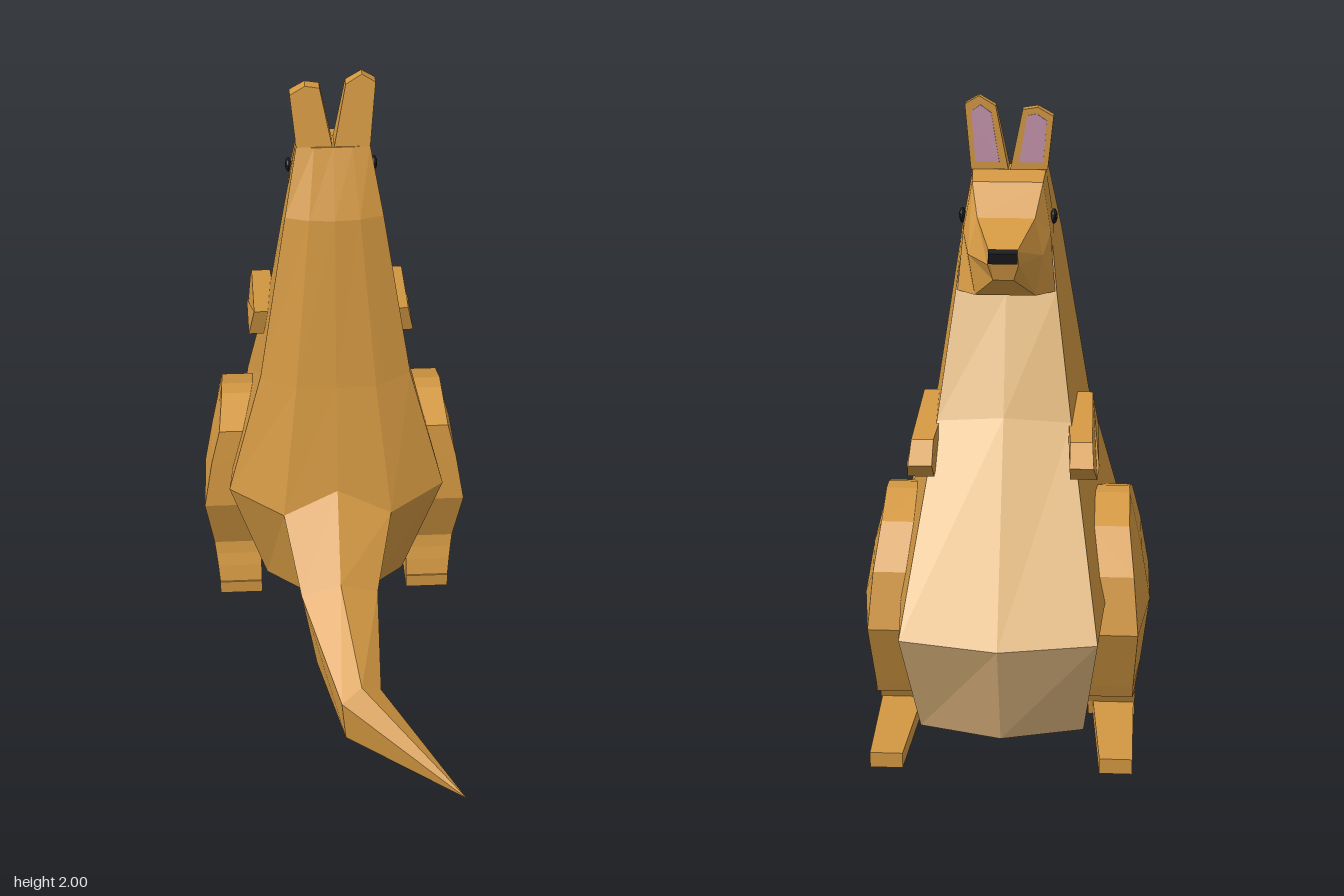
import * as THREE from 'three';

const FUR = 0xd39842, CREAM = 0xe8be84, DARK = 0x1c1c20, PINK = 0xc493ac;
const mat = (color) => new THREE.MeshStandardMaterial({ color, flatShading: true });

// Full loop from half a cross-section: the +x points, then their mirror image
const mirrorLoop = (half) => [
  ...half,
  ...half.filter((p) => p[0] !== 0).reverse().map(([x, y, z]) => [-x, y, z]),
];

// Joins equal-length loops into a closed solid; colorAt(level, column) picks the face colour, caps use column -1
function loft(name, loops, colorAt = () => FUR) {
  const faces = new Map();
  let volume = 0;
  const tri = (color, a, b, c) => {
    const [A, B, C] = [a, b, c].map((p) => new THREE.Vector3(...p));
    volume += A.dot(B.cross(C));
    if (!faces.has(color)) faces.set(color, []);
    faces.get(color).push([a, b, c]);
  };
  const n = loops[0].length, last = loops.length - 1;
  for (let i = 0; i < last; i++) {
    for (let j = 0; j < n; j++) {
      const k = (j + 1) % n, col = colorAt(i, j);
      tri(col, loops[i][j], loops[i][k], loops[i + 1][k]);
      tri(col, loops[i][j], loops[i + 1][k], loops[i + 1][j]);
    }
  }
  for (let j = 1; j < n - 1; j++) {
    tri(colorAt(0, -1), loops[0][0], loops[0][j + 1], loops[0][j]);
    tri(colorAt(last, -1), loops[last][0], loops[last][j], loops[last][j + 1]);
  }
  const group = new THREE.Group();
  group.name = name;
  for (const [color, list] of faces) {
    const points = list.flatMap((t) => (volume < 0 ? [t[0], t[2], t[1]] : t));
    const geo = new THREE.BufferGeometry();
    geo.setAttribute('position', new THREE.Float32BufferAttribute(points.flat(), 3));
    geo.computeVertexNormals();
    const mesh = new THREE.Mesh(geo, mat(color));
    mesh.name = color === FUR ? name : name + 'Panel';
    group.add(mesh);
  }
  return group;
}

function makeBody() {
  // back centre, back, side corner, belly edge, belly centre
  const rings = [
    [[0, 0.13, 0], [0.12, 0.13, 0], [0.24, 0.13, -0.1], [0.25, 0.13, -0.66], [0, 0.13, -0.73]],
    [[0, 0.64, 0.1], [0.18, 0.55, 0.11], [0.36, 0.6, 0.02], [0.29, 0.51, -0.85], [0, 0.5, -0.89]],
    [[0, 1.0, 0.02], [0.13, 1.0, 0.015], [0.245, 1.02, -0.03], [0.2, 1.08, -0.53], [0, 1.1, -0.555]],
    [[0, 1.57, -0.07], [0.08, 1.57, -0.075], [0.155, 1.57, -0.1], [0.15, 1.45, -0.41], [0, 1.44, -0.425]],
    [[0, 1.78, -0.16], [0.06, 1.78, -0.16], [0.115, 1.78, -0.17], [0.11, 1.78, -0.24], [0, 1.78, -0.24]],
  ].map(mirrorLoop);
  return loft('body', rings, (i, j) =>
    (i < 3 && (j === 3 || j === 4)) || (i === 0 && j === -1) ? CREAM : FUR);
}

function makeMuzzle() {
  return loft('muzzle', [
    [[0.11, 1.78, -0.235], [0.135, 1.64, -0.27], [0.14, 1.47, -0.36]],
    [[0.105, 1.76, -0.33], [0.13, 1.62, -0.37], [0.145, 1.45, -0.41]],
    [[0.085, 1.67, -0.41], [0.11, 1.57, -0.45], [0.09, 1.45, -0.46]],
    [[0.04, 1.61, -0.57], [0.045, 1.57, -0.565], [0.03, 1.52, -0.55]],
  ].map(mirrorLoop));
}

function makeTail() {
  // top, right, lower right, lower left, left; curls sideways to a point
  const tip = [0.37, 0.003, 0.89];
  return loft('tail', [
    [[0, 0.64, 0.1], [-0.18, 0.55, 0.11], [-0.12, 0.13, 0], [0.12, 0.13, 0], [0.18, 0.55, 0.11]],
    [[0, 0.4, 0.3], [-0.13, 0.35, 0.29], [-0.08, 0.03, 0.27], [0.08, 0.03, 0.27], [0.125, 0.35, 0.28]],
    [[0.05, 0.25, 0.63], [-0.015, 0.2, 0.65], [0, 0.02, 0.62], [0.09, 0.02, 0.58], [0.115, 0.21, 0.6]],
    [tip, tip, tip, tip, tip],
  ], (i, j) => (j === 2 && i < 2 ? CREAM : FUR));
}

// Hind leg from horizontal sections: height, back z, front z, outer x at back, outer x at front
function makeLeg(s) {
  const leg = loft('hindLeg', [
    [0.02, -0.12, -0.36, 0.41, 0.41],
    [0.07, -0.125, -0.37, 0.41, 0.41],
    [0.13, -0.14, -0.4, 0.415, 0.41],
    [0.175, -0.155, -0.53, 0.42, 0.4],
    [0.22, -0.165, -0.55, 0.425, 0.4],
    [0.44, -0.095, -0.64, 0.45, 0.41],
    [0.61, -0.115, -0.59, 0.42, 0.395],
    [0.73, -0.13, -0.48, 0.39, 0.38],
    [0.785, -0.28, -0.34, 0.38, 0.38],
  ].map(([y, zb, zf, xb, xf]) => [
    [s * 0.26, y, zb], [s * xb, y, zb], [s * xb, y, zb * 0.5 + zf * 0.5], [s * xf, y, zf], [s * 0.26, y, zf],
  ]));
  const foot = loft('foot', [[-0.12, 0.26, 0.41], [-0.73, 0.3, 0.4]].map(([z, xi, xo]) => [
    [s * xi, 0.02, z], [s * xo, 0.02, z], [s * xo, 0.07, z], [s * xi, 0.07, z],
  ]));
  leg.add(foot);
  return leg;
}

// Flat outline of [z, y] points given thickness from x = inner to outer
function makeArm(s) {
  const outline = [[-0.3, 1.1], [-0.64, 1.06], [-0.7, 1.0], [-0.63, 0.94], [-0.6, 0.97], [-0.32, 1.0]];
  const inner = [0.18, 0.2, 0.2, 0.2, 0.2, 0.18], outer = [0.26, 0.265, 0.27, 0.28, 0.285, 0.28];
  return loft('arm', [inner, outer].map((xs) => outline.map(([z, y], i) => [s * xs[i], y, z])));
}

function makeEar(s, outline) {
  const backZ = (y) => THREE.MathUtils.mapLinear(y, 1.76, 2, -0.16, -0.212);
  const front = outline.map(([x, y]) => [s * x, y, -0.245]);
  const back = outline.map(([x, y]) => [s * x, y, backZ(y)]);
  const ear = loft('ear', [front, back]);
  // inner ear: the same outline shrunk towards its middle
  const cx = 0.077, cy = 1.88;
  const shrink = (z) => outline.map(([x, y]) => [s * (cx + (x - cx) * 0.64), cy + (y - cy) * 0.78, z]);
  const lining = loft('innerEar', [shrink(-0.249), shrink(-0.24)], () => PINK);
  ear.add(lining);
  return ear;
}

export function createModel() {
  const model = new THREE.Group();
  model.name = 'kangaroo';
  model.add(makeBody(), makeMuzzle(), makeTail());

  for (const s of [1, -1]) {
    model.add(makeLeg(s), makeArm(s));
    const eye = new THREE.Mesh(new THREE.SphereGeometry(0.023, 12, 8), mat(DARK));
    eye.name = 'eye';
    eye.scale.x = 0.45;
    eye.position.set(s * 0.137, 1.652, -0.3);
    model.add(eye);
  }

  // the two ears differ slightly in height
  model.add(
    makeEar(1, [[0.003, 1.78], [0.04, 1.97], [0.09, 2.0], [0.132, 1.975], [0.115, 1.78]]),
    makeEar(-1, [[0.003, 1.78], [0.04, 1.96], [0.085, 1.967], [0.132, 1.94], [0.115, 1.78]]),
  );

  const nose = new THREE.Mesh(new THREE.BoxGeometry(0.084, 0.035, 0.025), mat(DARK));
  nose.name = 'nose';
  nose.position.set(0, 1.594, -0.567);
  nose.rotation.x = -0.3;
  model.add(nose);
  return model;
}
